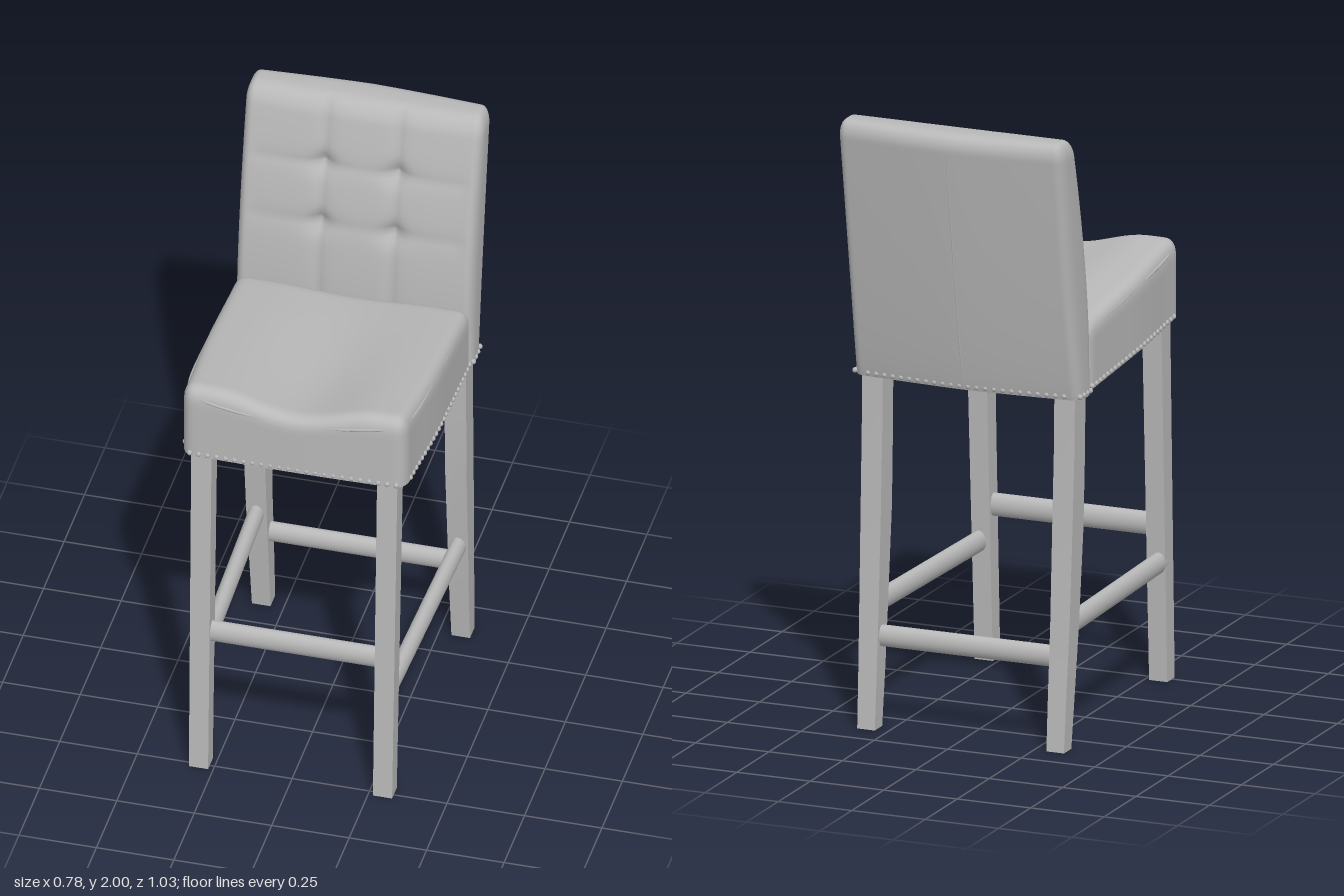
import * as THREE from 'three';
import { mergeVertices, mergeGeometries } from 'three/addons/utils/BufferGeometryUtils.js';

const grey = new THREE.MeshStandardMaterial({ color: 0xb8b8b8 });
grey.name = 'plain grey';

const { lerp, clamp, smoothstep } = THREE.MathUtils;

function add(parent, name, geometry) {
  const mesh = new THREE.Mesh(geometry, grey);
  mesh.name = name;
  parent.add(mesh);
  return mesh;
}

// Fine box with a sharp base and rounded sides and top, bent by a rule
function cushion(size, segments, radii, warp) {
  const g = new THREE.BoxGeometry(2, 2, 2, ...segments);
  g.deleteAttribute('uv');
  const p = g.attributes.position;
  const half = size.map(s => s / 2);
  for (let i = 0; i < p.count; i++) {
    const v = [p.getX(i), p.getY(i), p.getZ(i)].map((c, k) => Math.sin(c * Math.PI / 2) * half[k]);
    const inner = v.map((c, k) => clamp(c, k === 1 ? -half[k] : radii[k] - half[k], half[k] - radii[k]));
    const d = v.map((c, k) => (c - inner[k]) / radii[k]);
    const len = Math.hypot(...d);
    if (len > 0) {
      const m = Math.max(...d.map(Math.abs)) / len;
      for (let k = 0; k < 3; k++) v[k] = inner[k] + d[k] * m * radii[k];
    }
    p.setXYZ(i, ...warp(...v));
  }
  // weld smooth areas while the flat underside keeps its own normals
  const base = new Set();
  const normals = g.attributes.normal;
  for (let i = 0; i < p.count; i++) {
    const under = normals.getY(i) < -0.5;
    normals.setXYZ(i, 0, under ? -1 : 1, 0);
    if (under) base.add(i);
  }
  const merged = mergeVertices(g, 1e-5);
  merged.computeVertexNormals();
  return merged;
}

// Seat: slopes down to the rear, dips along the middle, narrows at the front
const SEAT = [0.756, 0.25, 0.76];
function seatWarp(x, y, z0) {
  const z = z0 + 0.113;
  const t = (y + SEAT[1] / 2) / SEAT[1];
  const u = x / 0.378;
  const bottom = 1.195 - 0.07 * (0.49 - z);
  const fade = smoothstep(z, -0.3, 0.4);
  const dip = lerp(0.012, 0.05, fade) * Math.pow(Math.cos(clamp(u * 1.35, -1, 1) * Math.PI / 2), 2);
  const top = 1.45 - 0.125 * (0.46 - z) - dip;
  return [x * (1 - 0.04 * smoothstep(z, 0.1, 0.49)), lerp(bottom, top, t), z - 0.006 * u * u * smoothstep(z, 0.3, 0.49)];
}

// Backrest: leaning slab, with a bowed rear and a tufted front
const BACK = [0.77, 0.865, 0.16];
const frontZ = y => -0.24 - 0.135 * Math.pow(clamp((y - 1.3) / 0.7, 0, 1), 1.6);
const rearZ = y => -0.375 - 0.148 * Math.pow(clamp((y - 1.135) / 0.865, 0, 1), 0.87);
function tuft(x, y) {
  let depth = 0;
  const dx = Math.abs(Math.abs(x) - 0.118);
  depth += 0.013 * Math.exp(-dx / 0.018);
  for (const row of [1.58, 1.78]) {
    const dy = Math.abs(y - row);
    depth += 0.015 * Math.exp(-dy / 0.025) * (0.35 + 0.65 * Math.exp(-dx / 0.06));
    depth += 0.016 * Math.exp(-(dx * dx + dy * dy) / 0.0012);
  }
  return depth * smoothstep(0.375 - Math.abs(x), 0, 0.06);
}
function backWarp(x, y0, z0) {
  const y = 1.135 + y0 + BACK[1] / 2;
  const k = 0.5 - z0 / BACK[2];
  const u = Math.abs(x) / 0.385;
  let z = lerp(frontZ(y), rearZ(y), k);
  z += 0.025 * Math.pow(u, 1.4) * k;
  z -= tuft(x, y) * smoothstep(z0, 0.03, 0.08) + 0.008 * u * u * (1 - k);
  return [x, y, z];
}

// Leg: square post following sections of [y, centre x, front z, rear z, width]
function legGeometry(sections, side) {
  const g = new THREE.BoxGeometry(1, 1, 1, 1, sections.length - 1, 1);
  const p = g.attributes.position;
  for (let i = 0; i < p.count; i++) {
    const row = Math.round((p.getY(i) + 0.5) * (sections.length - 1));
    const [y, x, zf, zr, w] = sections[row];
    p.setXYZ(i, side * x + p.getX(i) * w, y, p.getZ(i) > 0 ? zf : zr);
  }
  g.computeVertexNormals();
  return g;
}

// Rail: oval bar between two points
function rail(parent, name, a, b, height, depth) {
  const from = new THREE.Vector3(...a), to = new THREE.Vector3(...b);
  const g = new THREE.CylinderGeometry(0.5, 0.5, from.distanceTo(to), 20);
  g.rotateX(Math.PI / 2);
  g.scale(depth, height, 1);
  const mesh = add(parent, name, g);
  mesh.position.copy(from).add(to).multiplyScalar(0.5);
  mesh.lookAt(to);
}

export function createModel() {
  const model = new THREE.Group();
  model.name = 'barStool';

  add(model, 'seat', cushion(SEAT, [40, 16, 40], [0.04, 0.055, 0.05], seatWarp));
  add(model, 'backrest', cushion(BACK, [80, 80, 12], [0.03, 0.06, 0.055], backWarp));

  // Piping along the top edge of the seat
  const edge = [[-0.37, -0.3], [-0.37, 0], [-0.37, 0.3], [-0.345, 0.362], [0, 0.37],
    [0.345, 0.362], [0.37, 0.3], [0.37, 0], [0.37, -0.3]]
    .map(([x, z]) => new THREE.Vector3(...seatWarp(x, 0.09, z)));
  add(model, 'seatPiping', new THREE.TubeGeometry(new THREE.CatmullRomCurve3(edge), 80, 0.005, 6));

  // Centre seam down the rear of the backrest
  const seam = [];
  for (let i = 0; i <= 8; i++) {
    const y = 1.15 + i * 0.095;
    seam.push(new THREE.Vector3(0, y, rearZ(y) + 0.001));
  }
  add(model, 'rearSeam', new THREE.TubeGeometry(new THREE.CatmullRomCurve3(seam), 30, 0.003, 6));

  // Nail heads around the lower edge
  const nails = [];
  const nail = (x, y, z) => nails.push(new THREE.SphereGeometry(0.009, 8, 6).translate(x, y, z));
  for (let i = 0; i < 24; i++) {
    const x = -0.334 + i * 0.029;
    nail(x, 1.205, 0.488);
    nail(x, 1.147, -0.374 + 0.022 * Math.pow(Math.abs(x) / 0.385, 1.4));
  }
  for (const side of [-1, 1]) {
    for (let i = 0; i < 24; i++) {
      const z = 0.43 - i * 0.029;
      nail(side * 0.377 * (1 - 0.04 * smoothstep(z, 0.1, 0.49)), 1.205 - 0.07 * (0.49 - z), z);
    }
    for (let i = 0; i < 4; i++) nail(side * 0.383, 1.147, -0.265 - i * 0.027);
  }
  add(model, 'nailHeads', mergeGeometries(nails));

  // Legs and side rails
  const front = [[0, 0.297, 0.52, 0.462, 0.062], [1.24, 0.3, 0.472, 0.402, 0.066]];
  const rear = [[0, 0.322, -0.342, -0.4, 0.06], [0.2, 0.323, -0.317, -0.385, 0.063],
    [0.4, 0.325, -0.295, -0.37, 0.066], [0.7, 0.326, -0.267, -0.354, 0.069],
    [0.95, 0.327, -0.258, -0.342, 0.07], [1.2, 0.327, -0.254, -0.336, 0.07]];
  for (const [side, label] of [[1, 'left'], [-1, 'right']]) {
    add(model, label + 'FrontLeg', legGeometry(front, side));
    add(model, label + 'RearLeg', legGeometry(rear, side));
    rail(model, label + 'SideRail', [side * 0.305, 0.39, 0.47], [side * 0.327, 0.39, -0.32], 0.07, 0.05);
  }

  // Cross rails: footrest in front, lower one behind
  rail(model, 'footrest', [-0.29, 0.508, 0.47], [0.29, 0.508, 0.47], 0.075, 0.05);
  rail(model, 'rearRail', [-0.32, 0.295, -0.343], [0.32, 0.295, -0.343], 0.07, 0.05);

  return model;
}
